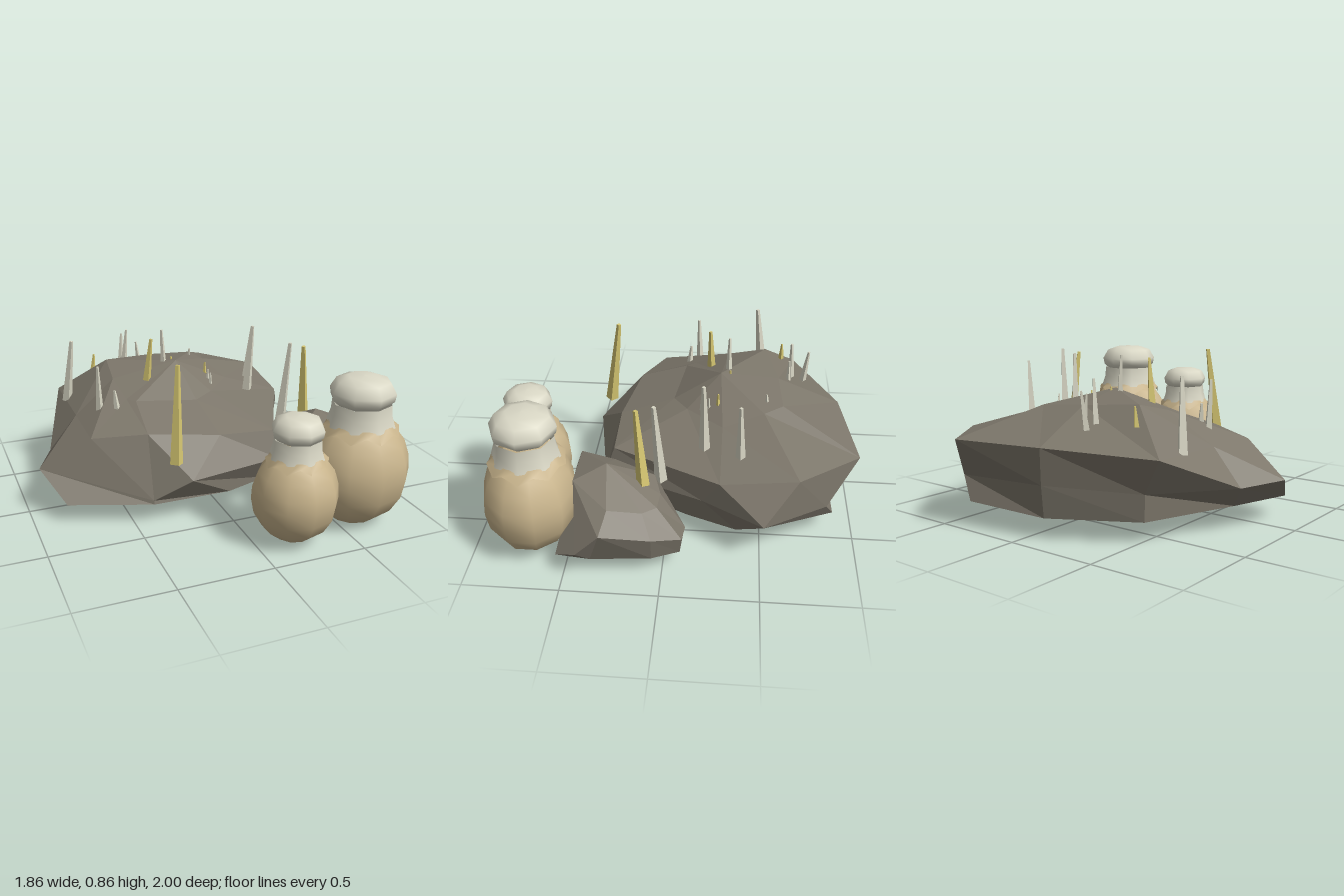
import * as THREE from 'three';

const mat = (name, color, extra = {}) => new THREE.MeshStandardMaterial({ name, color, ...extra });

// Closed faceted solid from rings of equal length (bottom to top) and a peak
function rockGeometry(rings, peak) {
  const pos = [];
  const tri = (...pts) => pts.forEach((p) => pos.push(...p));
  const n = rings[0].length;
  const low = [0, 1, 2].map((k) => rings[0].reduce((s, p) => s + p[k], 0) / n);
  const top = rings[rings.length - 1];
  for (let i = 0; i < n; i++) {
    const j = (i + 1) % n;
    tri(rings[0][j], rings[0][i], low);
    for (let r = 0; r < rings.length - 1; r++) {
      const a = rings[r], b = rings[r + 1];
      tri(a[i], a[j], b[i]);
      tri(a[j], b[j], b[i]);
    }
    tri(top[i], top[j], peak);
  }
  const g = new THREE.BufferGeometry();
  g.setAttribute('position', new THREE.Float32BufferAttribute(pos, 3));
  g.computeVertexNormals();
  return g;
}

const lathe = (pts, sides) =>
  new THREE.LatheGeometry(pts.map(([r, y]) => new THREE.Vector2(r, y)), sides);

export function createModel() {
  const root = new THREE.Group();
  const rock = mat('rock grey', 0x7d776b, { flatShading: true });
  const clay = mat('clay tan', 0xc8b48c, { side: THREE.DoubleSide });
  const cloth = mat('pale lid and spike', 0xdad8c6, { side: THREE.DoubleSide });
  const gold = mat('golden spike', 0xd6c772);

  const add = (parent, name, geo, material) => {
    const m = new THREE.Mesh(geo, material);
    m.name = name;
    parent.add(m);
    return m;
  };

  // Large rock: base, belt, rim and upper ring
  add(root, 'largeRock', rockGeometry([
    [[-0.83, 0.11, 0.21], [-0.4, 0.11, 0.37], [0.03, 0.11, 0.37], [0.3, 0.11, 0.28], [0.5, 0.11, -0.11],
      [0.6, 0.11, -0.37], [0.42, 0.11, -0.89], [-0.1, 0.11, -0.88], [-0.53, 0.11, -0.64], [-0.72, 0.11, -0.13]],
    [[-0.93, 0.25, 0.01], [-0.4, 0.13, 0.365], [-0.21, 0.25, 0.45], [0.33, 0.25, 0.35], [0.56, 0.26, -0.19],
      [0.74, 0.25, -0.51], [0.52, 0.23, -0.84], [-0.11, 0.28, -0.905], [-0.54, 0.25, -0.65], [-0.82, 0.24, -0.24]],
    [[-0.66, 0.42, 0.1], [-0.38, 0.45, 0.22], [0, 0.42, 0.3], [0.32, 0.4, 0.3], [0.61, 0.41, -0.28],
      [0.62, 0.46, -0.68], [0.39, 0.46, -1], [-0.13, 0.47, -0.93], [-0.66, 0.44, -0.7], [-0.66, 0.43, -0.24]],
    [[-0.4, 0.54, -0.1], [-0.36, 0.54, -0.05], [-0.02, 0.52, 0], [0.1, 0.53, -0.08], [0.27, 0.53, -0.28],
      [0.21, 0.59, -0.5], [0.16, 0.61, -0.6], [-0.1, 0.63, -0.58], [-0.4, 0.65, -0.51], [-0.42, 0.6, -0.3]],
  ], [-0.05, 0.68, -0.26]), rock);

  // Small rock
  add(root, 'smallRock', rockGeometry([
    [[0.23, 0.1, 0.54], [0.85, 0.1, 0.54], [0.87, 0.1, 0.36], [0.84, 0.1, 0.05],
      [0.78, 0.1, -0.09], [0.62, 0.1, -0.1], [0.44, 0.1, 0.04], [0.25, 0.1, 0.38]],
    [[0.22, 0.18, 0.54], [0.93, 0.18, 0.42], [0.93, 0.3, 0.3], [0.87, 0.24, 0.05],
      [0.8, 0.2, -0.1], [0.67, 0.17, -0.11], [0.46, 0.22, 0.01], [0.24, 0.2, 0.38]],
    [[0.4, 0.43, 0.46], [0.67, 0.44, 0.46], [0.82, 0.38, 0.27], [0.78, 0.34, 0.1],
      [0.73, 0.34, 0.03], [0.63, 0.35, 0.02], [0.5, 0.37, 0.06], [0.42, 0.4, 0.28]],
  ], [0.58, 0.49, 0.3]), rock);

  // Round jars with a jagged ruffle, neck and cushion lid
  const jar = (name, x, y, z, sx, sy, depth) => {
    const g = new THREE.Group();
    g.name = name;
    const body = add(g, 'jarBody', lathe([[0, 0], [0.12, 0.022], [0.21, 0.09], [0.265, 0.18], [0.284, 0.28],
      [0.278, 0.36], [0.246, 0.45], [0.195, 0.515], [0.16, 0.55], [0, 0.57]], 10), clay);
    body.scale.z = depth;
    const ruffle = new THREE.CylinderGeometry(0.165, 0.2, 0.05, 16, 1, true);
    ruffle.translate(0, 0.54, 0);
    const p = ruffle.attributes.position;
    for (let i = 17; i < 34; i++) p.setY(i, i % 2 ? 0.5 : 0.54);
    ruffle.computeVertexNormals();
    add(g, 'jarRuffle', ruffle, clay);
    add(g, 'jarNeck', lathe([[0.18, 0.55], [0.16, 0.61], [0.155, 0.67]], 8), cloth);
    add(g, 'jarLid', lathe([[0, 0.66], [0.13, 0.66], [0.165, 0.69], [0.172, 0.73],
      [0.14, 0.785], [0.08, 0.806], [0, 0.81]], 8), cloth);
    g.position.set(x, y, z);
    g.scale.set(sx, sy, sx);
    root.add(g);
  };
  jar('largeJar', 0.615, 0, 0.7, 1, 1, 0.87);
  jar('smallJar', 0.21, 0.01, 0.78, 0.79, 0.83, 0.97);

  // Tapered four-sided spikes: base point, tip point, base radius
  const spike = (material, base, tip, r) => {
    const a = new THREE.Vector3(...base), b = new THREE.Vector3(...tip);
    const dir = b.clone().sub(a);
    const geo = new THREE.CylinderGeometry(r * 0.35, r, dir.length(), 4).toNonIndexed();
    geo.computeVertexNormals();
    const m = add(root, 'spike', geo, material);
    m.position.copy(a).lerp(b, 0.5);
    m.quaternion.setFromUnitVectors(new THREE.Vector3(0, 1, 0), dir.normalize());
  };
  [
    [[-0.65, 0.43, -0.5], [-0.615, 0.8, -0.46], 0.03],
    [[-0.55, 0.46, -0.12], [-0.555, 0.745, -0.11], 0.023],
    [[-0.465, 0.49, -0.06], [-0.475, 0.61, -0.07], 0.02],
    [[-0.11, 0.62, -0.3], [-0.12, 0.86, -0.3], 0.02],
    [[0.38, 0.47, -0.19], [0.405, 0.86, -0.18], 0.03],
    [[0.46, 0.48, -0.38], [0.49, 0.8, -0.37], 0.026],
    [[0.5, 0.34, 0.03], [0.53, 0.81, 0.06], 0.034],
    [[-0.25, 0.56, -0.66], [-0.23, 0.78, -0.65], 0.02],
    [[-0.25, 0.54, -0.73], [-0.235, 0.73, -0.75], 0.02],
    [[-0.16, 0.57, -0.64], [-0.175, 0.7, -0.64], 0.016],
    [[0.13, 0.56, -0.52], [0.13, 0.66, -0.51], 0.014],
    [[0.13, 0.5, -0.16], [0.13, 0.61, -0.16], 0.014],
    [[0.13, 0.52, -0.2], [0.13, 0.62, -0.2], 0.012],
  ].forEach((s) => spike(cloth, ...s));
  [
    [[-0.285, 0.34, 0.4], [-0.25, 0.855, 0.335], 0.036],
    [[-0.25, 0.57, -0.2], [-0.22, 0.845, -0.19], 0.026],
    [[0.605, 0.35, 0.11], [0.57, 0.81, 0.145], 0.036],
    [[-0.46, 0.56, -0.61], [-0.45, 0.66, -0.61], 0.016],
    [[-0.06, 0.64, -0.31], [-0.06, 0.69, -0.31], 0.012],
    [[0.13, 0.55, -0.25], [0.13, 0.65, -0.25], 0.014],
  ].forEach((s) => spike(gold, ...s));

  return root;
}
